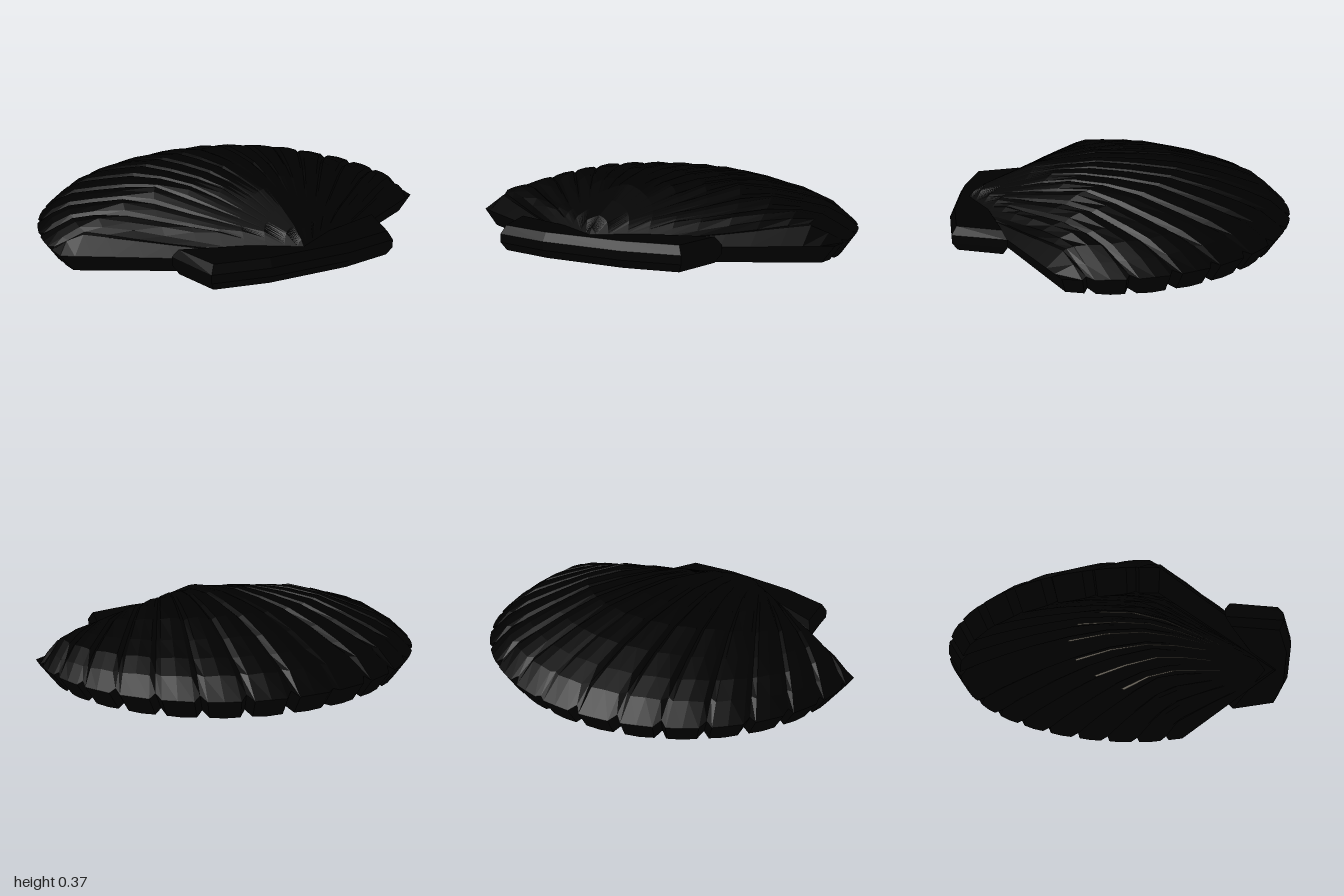
import * as THREE from 'three';

const UMBO = 0.84, CZ = 0.1, EDGE = 60.4, STEP = 7;
const lerp = THREE.MathUtils.lerp;

// piecewise-linear profile lookup
function profile(pts, s) {
  for (let i = 1; i < pts.length; i++) {
    const [a, ya] = pts[i - 1], [b, yb] = pts[i];
    if (s <= b) return lerp(ya, yb, (s - a) / (b - a));
  }
  return pts[pts.length - 1][1];
}
const OUTER = [[0, 0.375], [0.12, 0.375], [0.49, 0.34], [0.88, 0.215], [1, 0.11]];
const INNER = [[0, 0.27], [0.2, 0.26], [0.5, 0.2], [0.85, 0.08], [1, 0.015]];

// 0 at the centre of the shell, 1 on its outline (round back, two straight front flanks)
const spread = (x, z) => Math.min(1, Math.max(
  Math.hypot(x, (z - CZ) / 0.97), (0.494 * Math.abs(x) + 0.869 * (z - CZ)) / 0.643));

// columns of the fan: each groove has two shoulders, with a crest between grooves
const columns = [{ deg: -EDGE, g: 0 }];
for (let k = -8; k <= 8; k++) {
  const deg = k * STEP;
  columns.push({ deg: deg - 1, g: 0 }, { deg, g: k === 0 ? 0.4 : 1 }, { deg: deg + 1, g: 0 });
  if (k < 8) columns.push({ deg: deg + STEP / 2, g: -0.25 });
}
columns.push({ deg: EDGE, g: 0 });
const ROWS = [0, 0.04, 0.08, 0.15, 0.23, 0.32, 0.42, 0.54, 0.66, 0.78, 0.87, 0.94, 1];

// plan position on a ray from the hinge point, t = 1 at the rim
function plan({ deg, g }, t) {
  const a = THREE.MathUtils.degToRad(deg), dx = Math.sin(a), dz = -Math.cos(a), h = UMBO - CZ, q = 0.97 * 0.97;
  const A = dx * dx + dz * dz / q, B = h * dz / q, C = h * h / q - 1;
  const len = (-B + Math.sqrt(B * B - A * C)) / A * (1 - 0.018 * Math.max(0, g) * t);
  return [dx * len * t, UMBO + dz * len * t];
}

function outerPoint(c, t) {
  const [x, z] = plan(c, t);
  const fade = THREE.MathUtils.smoothstep(t, 0.2, 0.6) * (t === 1 ? 0.3 : 1);
  return [x, profile(OUTER, spread(x, z)) - 0.016 * c.g * fade, z];
}

function innerPoint(c, t) {
  const [x, z] = plan(c, t);
  const fade = THREE.MathUtils.smoothstep(t, 0.2, 0.6);
  const y = profile(INNER, spread(x, z)) + 0.03 * Math.max(0, z) + 0.012 * c.g * fade;
  return [x * 0.935, y, CZ + (z - CZ) * 0.935];
}

// quad sheet from a point function over a grid of indices
function sheet(nu, nv, fn) {
  const pos = [], idx = [];
  for (let i = 0; i < nu; i++) for (let j = 0; j < nv; j++) {
    pos.push(...fn(i, j));
    if (i && j) {
      const d = i * nv + j, c = d - 1, b = d - nv, a = b - 1;
      idx.push(a, c, b, b, c, d);
    }
  }
  const geo = new THREE.BufferGeometry();
  geo.setAttribute('position', new THREE.Float32BufferAttribute(pos, 3));
  geo.setIndex(idx);
  geo.computeVertexNormals();
  return geo;
}

export function createModel() {
  const group = new THREE.Group();
  const black = new THREE.MeshStandardMaterial({ color: 0x000000, flatShading: true, side: THREE.DoubleSide });
  const cream = new THREE.MeshStandardMaterial({ color: 0xe8dcc8, flatShading: true, side: THREE.DoubleSide });
  const add = (name, geo, mat) => {
    const mesh = new THREE.Mesh(geo, mat);
    mesh.name = name;
    group.add(mesh);
    return mesh;
  };
  const nc = columns.length, nr = ROWS.length;

  // ribbed dome and hollow underside
  add('outerShell', sheet(nc, nr, (i, j) => outerPoint(columns[i], ROWS[j])), black);
  add('innerShell', sheet(nc, nr, (i, j) => innerPoint(columns[i], ROWS[nr - 1 - j])), black);

  // bevelled rim joining both sheets along the whole outline
  const border = [
    ...ROWS.map(t => [columns[0], t]),
    ...columns.slice(1, -1).map(c => [c, 1]),
    ...ROWS.map(t => [columns[nc - 1], t]).reverse(),
  ];
  add('rim', sheet(border.length, 2, (i, j) => (j ? innerPoint : outerPoint)(...border[i])), black);

  // hinge plate with its two wings
  const half = [[0.2, 0.84], [0.455, 0.797], [0.52, 0.575]];
  const shape = new THREE.Shape([
    ...half.map(([x, z]) => new THREE.Vector2(x, -z)),
    new THREE.Vector2(0, -0.74),
    ...half.map(([x, z]) => new THREE.Vector2(-x, -z)).reverse(),
  ]);
  const plate = new THREE.ExtrudeGeometry(shape, {
    depth: 0.04, bevelEnabled: true, bevelThickness: 0.04, bevelSize: 0.025, bevelSegments: 1,
  });
  plate.rotateX(-Math.PI / 2);
  plate.translate(0, 0.085, 0);
  add('hinge', plate, black);

  // pale streaks fanning across the hollow
  const streakRows = [0.22, 0.32, 0.42, 0.54, 0.66];
  for (const deg of [-30, -18.5, -6.5, 6.5, 18.5, 30]) {
    add('innerStreak', sheet(streakRows.length, 2, (i, j) => {
      const w = 0.25 + 0.35 * i / 4;
      const [x, y, z] = innerPoint({ deg: deg + (j ? w : -w), g: 0 }, streakRows[i]);
      return [x, y - 0.012, z];
    }), cream);
  }
  return group;
}
